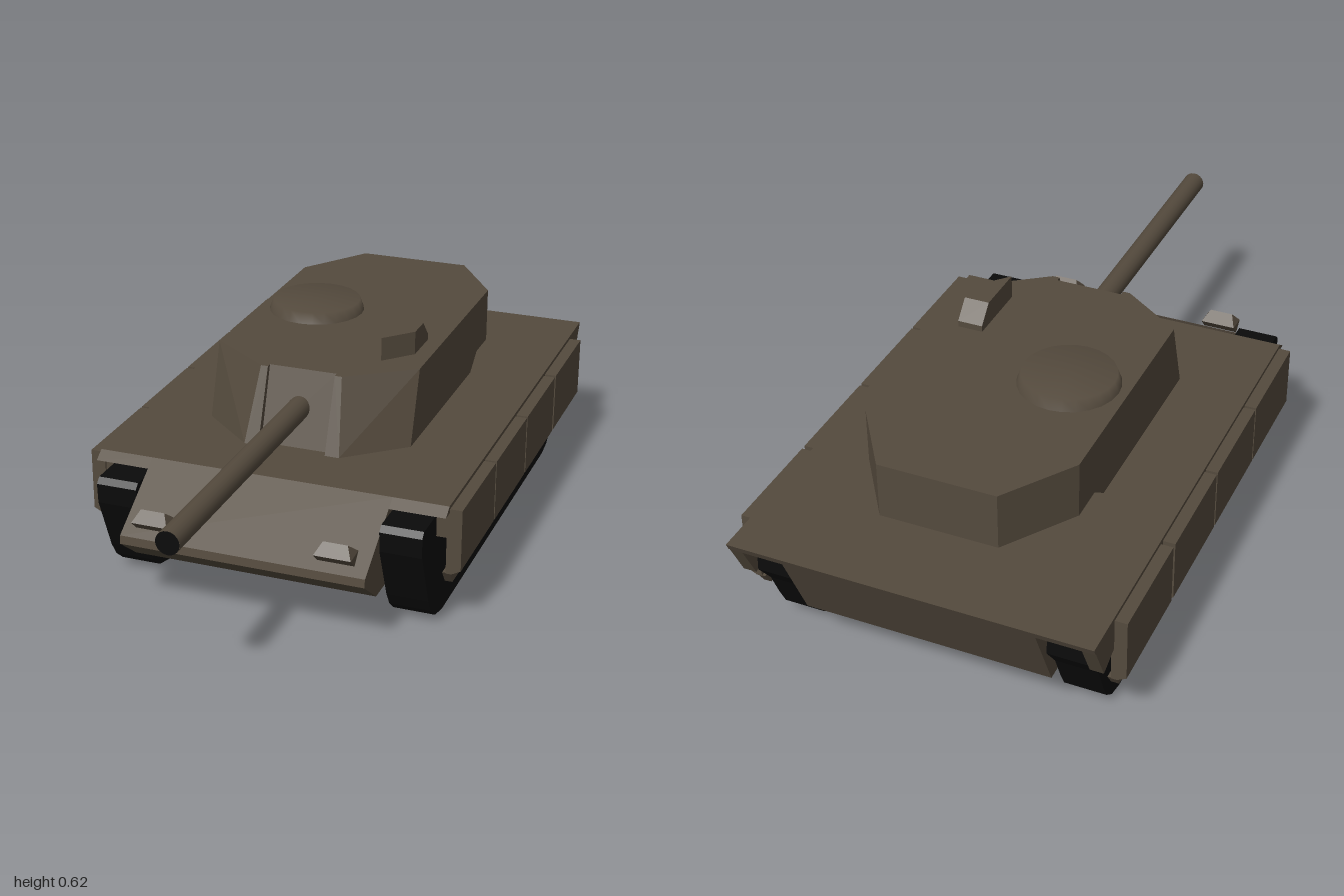
import * as THREE from 'three';
import { ConvexGeometry } from 'three/addons/geometries/ConvexGeometry.js';

export function createModel() {
  const root = new THREE.Group();
  root.name = 'tank';
  const paint = new THREE.MeshStandardMaterial({ color: 0x544a3d });
  paint.name = 'olive brown paint';
  const rubber = new THREE.MeshStandardMaterial({ color: 0x0b0b0b });
  rubber.name = 'black track';

  const add = (name, geometry, material = paint, parent = root) => {
    const mesh = new THREE.Mesh(geometry, material);
    mesh.name = name;
    parent.add(mesh);
    return mesh;
  };
  // side profile given as [z, y], extruded from x0 to x1
  const extrudeX = (profile, x0, x1) => {
    const shape = new THREE.Shape(profile.map(([z, y]) => new THREE.Vector2(z, y)));
    const g = new THREE.ExtrudeGeometry(shape, { depth: x1 - x0, bevelEnabled: false });
    return g.rotateY(-Math.PI / 2).translate(x1, 0, 0);
  };
  // the same, placed on the left (side 1) or right (side -1)
  const extrudeSide = (profile, a, b, side) =>
    side > 0 ? extrudeX(profile, a, b) : extrudeX(profile, -b, -a);
  // convex block from [x, y, z] corners, mirrored by side
  const block = (corners, side = 1) =>
    new ConvexGeometry(corners.map(([x, y, z]) => new THREE.Vector3(x * side, y, z)));

  // Hull: a shell open at the bottom, with a wider deck on top
  const hull = new THREE.Group();
  hull.name = 'hull';
  root.add(hull);
  const outer = [[0.5, 0.12], [0.59, 0.19], [0.587, 0.213], [0.38, 0.345], [-1, 0.345], [-0.9, 0.12]];
  const inner = [[-0.888, 0.12], [-0.978, 0.325], [0.375, 0.325], [0.572, 0.205], [0.572, 0.195], [0.484, 0.12]];
  add('hullShell', extrudeX([...outer, ...inner], -0.336, 0.336), paint, hull);
  const deck = [[0.38, 0.345], [0.41, 0.325], [-0.991, 0.325], [-1, 0.345]];
  const trackProfile = [
    [0.47, 0.31], [0.485, 0.295], [0.482, 0.24], [0.42, 0.085], [0.395, 0.045], [0.36, 0.015], [0.3, 0],
    [-0.74, 0], [-0.79, 0.012], [-0.825, 0.04], [-0.85, 0.09], [-0.88, 0.16], [-0.93, 0.225], [-0.925, 0.29], [-0.9, 0.31],
  ];
  const fender = [[0.37, 0.33], [0.37, 0.25], [-0.87, 0.25], [-0.938, 0.222], [-0.991, 0.33]];
  const skirtStarts = [0.375, 0.062, -0.252, -0.57];

  for (const side of [1, -1]) {
    const label = side > 0 ? 'left' : 'right';
    add(label + 'HullWall', extrudeSide(outer, 0.326, 0.336, side), paint, hull);
    add(label + 'Deck', extrudeSide(deck, 0.336, 0.487, side), paint, hull);
    add(label + 'Fender', extrudeSide(fender, 0.451, 0.487, side), paint, hull);
    add(label + 'Track', extrudeSide(trackProfile, 0.337, 0.45, side), rubber);

    // Side skirts: a thick panel with a chamfered lower lip
    for (const z0 of skirtStarts) {
      const z1 = z0 - 0.305;
      const section = [[0.48, 0.335], [0.52, 0.335], [0.52, 0.163], [0.495, 0.15], [0.48, 0.15]];
      const corners = section.flatMap(([x, y]) => [[x, y, z0], [x, y, z1]]);
      add(label + 'Skirt', block(corners, side));
      const lip = [[z0, 0.152], [z0 - 0.025, 0.115], [z1 + 0.025, 0.115], [z1, 0.152]];
      add(label + 'SkirtLip', extrudeSide(lip, 0.471, 0.492, side));
    }

    // Headlight: a tilted block, narrower along its upper edge
    add(label + 'Headlight', block([
      ...[0.2, 0.3].flatMap((x) => [[x, 0.231, 0.563], [x, 0.258, 0.592], [x, 0.262, 0.535]]),
      [0.217, 0.288, 0.566], [0.283, 0.288, 0.566],
    ], side));
  }

  // Turret: two cheeks, a recessed mantlet between them and a raised bustle
  const turret = new THREE.Group();
  turret.name = 'turret';
  root.add(turret);
  const top = 0.555, low = 0.355, mid = 0.4;
  for (const side of [1, -1]) {
    add('turretCheek', block([
      [0.095, top, 0.155], [0.115, top, 0.155], [0.29, top, 0.03], [0.29, top, -0.52], [0.095, top, -0.52],
      [0.095, low, 0.23], [0.135, low, 0.23], [0.29, low, 0.095], [0.29, low, -0.46], [0.095, low, -0.46],
      [0.29, mid, -0.52], [0.095, mid, -0.52],
    ], side), paint, turret);
  }
  add('mantlet', extrudeX(
    [[0.14, top], [0.208, low], [-0.46, low], [-0.52, mid], [-0.52, top]], -0.095, 0.095), paint, turret);
  const bustle = [];
  for (const y of [mid, top]) {
    for (const s of [1, -1]) bustle.push([0.29 * s, y, -0.52], [0.29 * s, y, -0.62], [0.16 * s, y, -0.81]);
  }
  add('bustle', block(bustle), paint, turret);

  // Low round cupola with softly shaded rim
  const rim = [[0.136, 0], [0.125, 0.031], [0, 0.031]].map(([r, y]) => new THREE.Vector2(r, y));
  add('cupola', new THREE.LatheGeometry(rim, 24), paint, turret).position.set(-0.13, top, -0.305);

  // Sight with slanted front and sloping back
  add('sight', block([
    [0.175, top, -0.18], [0.245, top, -0.18], [0.175, 0.572, -0.18], [0.245, 0.572, -0.18],
    [0.175, 0.62, -0.135], [0.245, 0.62, -0.135],
    [0.175, 0.62, 0.012], [0.245, 0.62, -0.065], [0.175, top, 0.012], [0.245, top, -0.065],
  ]), paint, turret);

  // Gun barrel with a dark muzzle
  const barrel = new THREE.CylinderGeometry(0.031, 0.031, 0.86, 20).rotateX(Math.PI / 2);
  add('barrel', barrel, paint, turret).position.set(0, 0.455, 0.569);
  add('muzzle', new THREE.CircleGeometry(0.031, 20), rubber, turret).position.set(0, 0.455, 1);

  return root;
}
